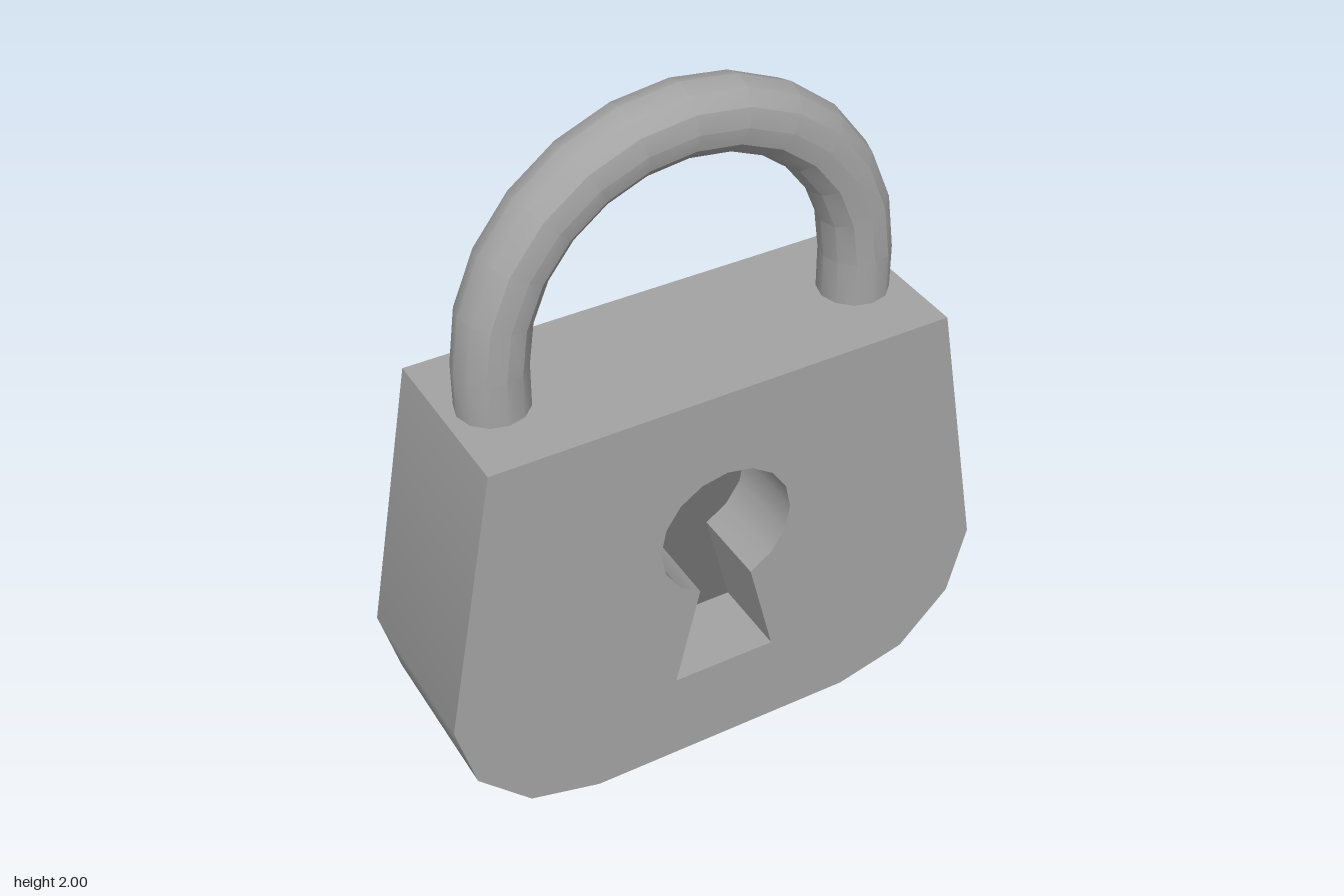
import * as THREE from 'three';
import { mergeGeometries, toCreasedNormals } from 'three/addons/utils/BufferGeometryUtils.js';

const HALF_DEPTH = 0.255;
const KEYHOLE_FLOOR = 0.015;
const BODY_TOP = 1.23;
const CREASE = 0.5245; // just over 30 degrees

function part(name, geometry, color) {
  const mesh = new THREE.Mesh(geometry, new THREE.MeshStandardMaterial({ color }));
  mesh.name = name;
  return mesh;
}

// Strip of quads along a closed outline; faces outward for counter-clockwise points.
// Gentle corners are smooth, the others sharp.
function wall(points, z0, z1) {
  const count = points.length;
  const at = (i) => points[(i + count) % count];
  const facing = (i) => {
    const d = at(i + 1).clone().sub(at(i)).normalize();
    return new THREE.Vector2(d.y, -d.x);
  };
  const cornerNormal = (own, other) =>
    own.dot(other) > Math.cos(CREASE) ? own.clone().add(other).normalize() : own;

  const pos = [], nor = [];
  for (let i = 0; i < count; i++) {
    const n = facing(i);
    const a = { p: at(i), n: cornerNormal(n, facing(i - 1)) };
    const b = { p: at(i + 1), n: cornerNormal(n, facing(i + 1)) };
    for (const [v, z] of [[a, z0], [b, z0], [b, z1], [a, z0], [b, z1], [a, z1]]) {
      pos.push(v.p.x, v.p.y, z);
      nor.push(v.n.x, v.n.y, 0);
    }
  }
  const geo = new THREE.BufferGeometry();
  geo.setAttribute('position', new THREE.Float32BufferAttribute(pos, 3));
  geo.setAttribute('normal', new THREE.Float32BufferAttribute(nor, 3));
  return geo;
}

// Flat face of a shape
function cap(shape, z, back = false) {
  const geo = new THREE.ShapeGeometry(shape).toNonIndexed();
  geo.deleteAttribute('uv');
  if (back) geo.rotateY(Math.PI);
  return geo.translate(0, 0, z);
}

// Keyhole outline: round top over a flared slot
function keyholePoints() {
  const points = [new THREE.Vector2(-0.155, 0.285), new THREE.Vector2(0.155, 0.285)];
  const start = -1.16, span = Math.PI - 2 * start, steps = 14;
  for (let i = 0; i <= steps; i++) {
    const a = start + (span * i) / steps;
    points.push(new THREE.Vector2(0.2 * Math.cos(a), 0.77 + 0.2 * Math.sin(a)));
  }
  return points;
}

// Tapered body with rounded lower corners and a blind keyhole
function bodyGeometry(keyhole) {
  const right = [[0.405, 0], [0.615, 0.055], [0.769, 0.21], [0.825, 0.42], [0.677, BODY_TOP]];
  const outline = [
    ...right.map(([x, y]) => new THREE.Vector2(x, y)),
    ...[...right].reverse().map(([x, y]) => new THREE.Vector2(-x, y)),
  ];
  const front = new THREE.Shape(outline);
  front.holes.push(new THREE.Path(keyhole));
  return mergeGeometries([
    cap(front, HALF_DEPTH),
    cap(new THREE.Shape(outline), -HALF_DEPTH, true),
    wall(outline, -HALF_DEPTH, HALF_DEPTH),
    wall([...keyhole].reverse(), KEYHOLE_FLOOR, HALF_DEPTH),
  ]);
}

// Arch of 12 steps with one extra step at each end, straightened into a leg
function shackleGeometry() {
  const archY = 1.358, legBottom = BODY_TOP - 0.04, step = Math.PI / 12;
  const geo = new THREE.TorusGeometry(0.542, 0.1, 12, 14, 14 * step).rotateZ(-step);
  const pos = geo.attributes.position;
  for (let i = 0; i < pos.count; i++) {
    if (pos.getY(i) < -0.01) {
      pos.setX(i, pos.getX(i) / Math.cos(step));
      pos.setY(i, legBottom - archY);
    }
  }
  return toCreasedNormals(geo.translate(0, archY, 0), CREASE);
}

export function createModel() {
  const group = new THREE.Group();
  group.name = 'padlock';
  const keyhole = keyholePoints();
  group.add(
    part('body', bodyGeometry(keyhole), 0xa3a3a3),
    part('keyholeFloor', cap(new THREE.Shape(keyhole), KEYHOLE_FLOOR), 0x707070),
    part('shackle', shackleGeometry(), 0xa3a3a3),
  );
  return group;
}
